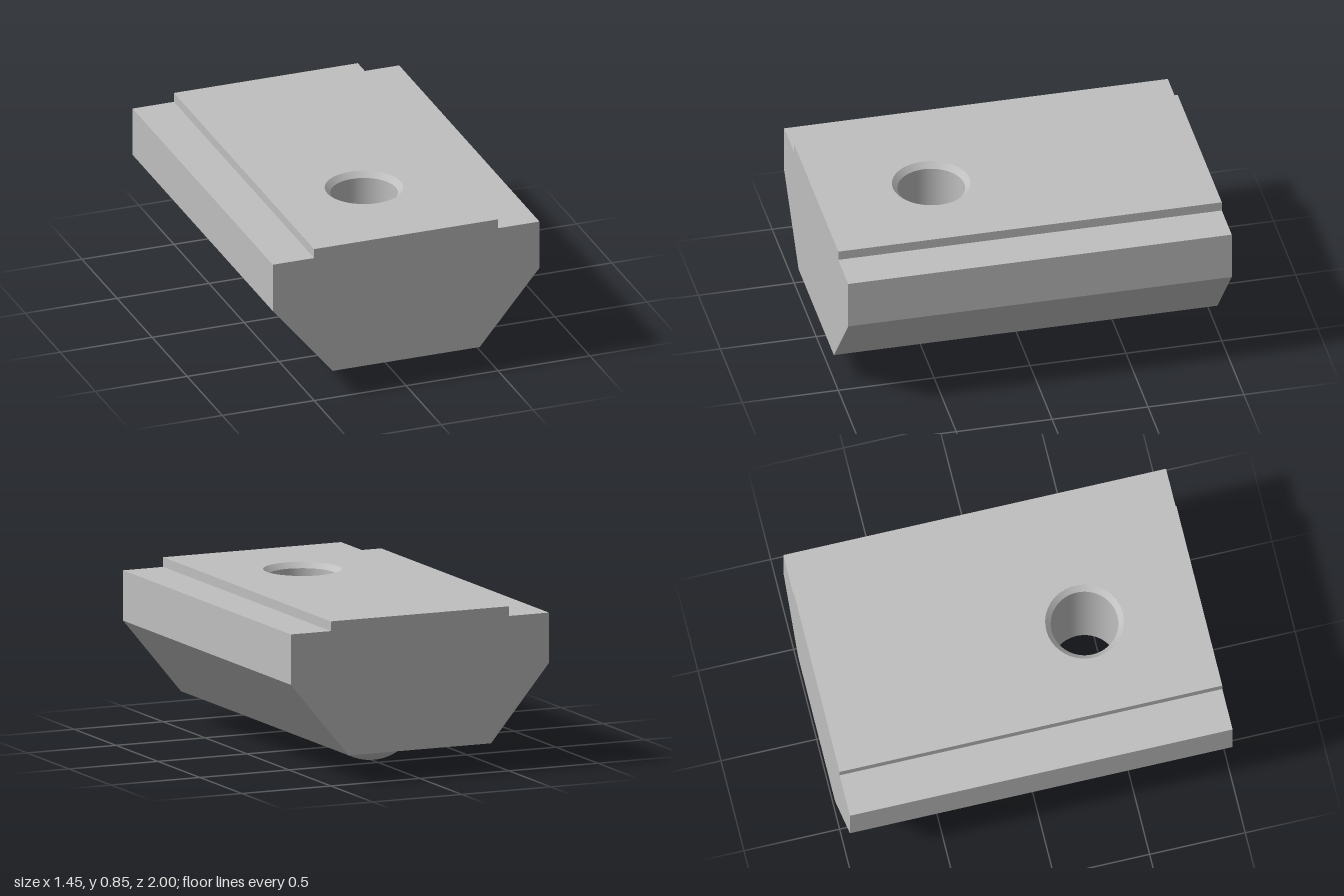
import * as THREE from 'three';
import { mergeGeometries } from 'three/addons/utils/BufferGeometryUtils.js';

const LENGTH = 2, HOLE_Z = 0.4, RIM = 0.2, BORE = 0.172, BEVEL = 0.028;
const BOTTOM = 0.15, TOP = 0.85;

// Cross-section of the body, counterclockwise seen from the front
const half = [[0.4, BOTTOM], [0.725, 0.54], [0.725, 0.8], [0.5, 0.8], [0.5, TOP]];
const profile = [...half, ...half.map(([x, y]) => [-x, y]).reverse()]
  .map(([x, y]) => new THREE.Vector2(x, y));

// Flat panel running the whole length along one edge of the cross-section
function panel(a, b) {
  const w = a.distanceTo(b) / 2, l = LENGTH / 2;
  const shape = new THREE.Shape([[-w, -l], [w, -l], [w, l], [-w, l]].map((p) => new THREE.Vector2(...p)));
  const level = a.y === b.y && (a.y === BOTTOM || a.y === TOP);
  if (level) shape.holes.push(new THREE.Path().absarc(0, HOLE_Z, RIM, 0, Math.PI * 2, true));
  const d = b.clone().sub(a).normalize();
  const m = new THREE.Matrix4().makeBasis(
    new THREE.Vector3(d.x, d.y, 0), new THREE.Vector3(0, 0, 1), new THREE.Vector3(d.y, -d.x, 0));
  m.setPosition((a.x + b.x) / 2, (a.y + b.y) / 2, 0);
  return new THREE.ShapeGeometry(shape, 32).applyMatrix4(m);
}

export function createModel() {
  const group = new THREE.Group();
  const steel = new THREE.MeshStandardMaterial({ color: 0xbfbfbf });
  steel.name = 'steel grey';
  const add = (name, geometry, x = 0, y = 0, z = 0) => {
    const mesh = new THREE.Mesh(geometry, steel);
    mesh.name = name;
    mesh.position.set(x, y, z);
    group.add(mesh);
  };

  // Long faces, with the hole cut through top and bottom
  add('body', mergeGeometries(profile.map((p, i) => panel(p, profile[(i + 1) % profile.length]))));

  // End faces
  const end = () => new THREE.ShapeGeometry(new THREE.Shape(profile));
  add('frontEnd', end(), 0, 0, LENGTH / 2);
  add('backEnd', end().rotateY(Math.PI), 0, 0, -LENGTH / 2);

  // Bore wall with a bevel at each mouth, listed downwards so it faces inwards
  const bore = [[RIM, TOP], [BORE, TOP - BEVEL], [BORE, BOTTOM + BEVEL], [RIM, BOTTOM]]
    .map(([x, y]) => new THREE.Vector2(x, y));
  ['topBevel', 'boreWall', 'bottomBevel'].forEach((name, i) =>
    add(name, new THREE.LatheGeometry([bore[i], bore[i + 1]], 64), 0, 0, HOLE_Z));

  // Spring ball showing below the underside
  const r = 0.25, start = Math.acos((BOTTOM - r) / r);
  add('ball', new THREE.SphereGeometry(r, 64, 20, 0, Math.PI * 2, start, Math.PI - start), 0, r, -HOLE_Z);

  return group;
}
